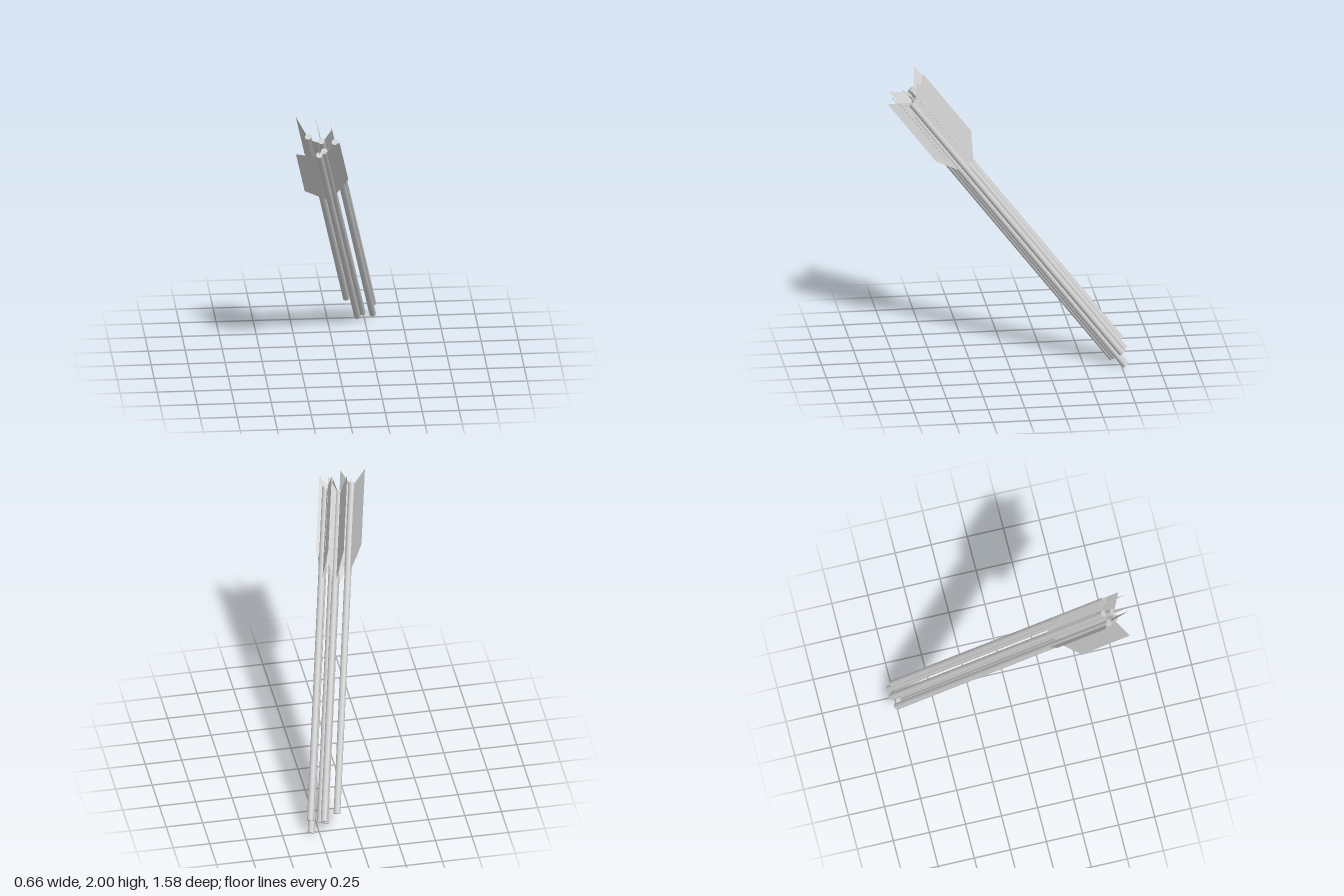
import * as THREE from 'three';

const LENGTH = 2.24;
const RADIUS = 0.023;

// Each arrow: offset across the bundle (x, z), start along the axis, vane pairs [angle in degrees, width]
const ARROWS = [
  { x: 0.181, z: -0.662, start: -0.385, vanes: [[-69, 0.131]] },
  { x: 0.26, z: -0.635, start: -0.44, vanes: [[90, 0.157], [10, 0.09]] },
  { x: 0.222, z: -0.535, start: -0.442, vanes: [[0, 0.152]] },
  { x: 0.26, z: -0.552, start: -0.44, vanes: [] },
  { x: 0.327, z: -0.566, start: -0.518, vanes: [] },
  { x: 0.346, z: -0.6, start: -0.437, vanes: [[90, 0.12]] },
];

export function createModel() {
  const model = new THREE.Group();
  model.name = 'arrowBundle';
  const shaftMaterial = new THREE.MeshStandardMaterial({ color: 0xcccccc });
  const vaneMaterial = new THREE.MeshStandardMaterial({ color: 0xcccccc, side: THREE.DoubleSide });
  const shaftGeometry = new THREE.CylinderGeometry(RADIUS, RADIUS, LENGTH, 10);
  shaftGeometry.translate(0, LENGTH / 2, 0);

  // Swept vane: tapered towards the head, pointed past the nock
  const vaneGeometry = (width) => new THREE.ShapeGeometry(new THREE.Shape([
    new THREE.Vector2(0, 1.6),
    new THREE.Vector2(width, 1.82),
    new THREE.Vector2(width, 2.33),
    new THREE.Vector2(0, 2.21),
  ]));

  // The bundle leans as one
  const bundle = new THREE.Group();
  bundle.name = 'leaningBundle';
  const axis = new THREE.Vector3(-0.165, 0.77, 0.617).normalize();
  const side = new THREE.Vector3(0.97, 0.23, -0.03);
  side.addScaledVector(axis, -side.dot(axis)).normalize();
  const front = new THREE.Vector3().crossVectors(side, axis);
  bundle.quaternion.setFromRotationMatrix(new THREE.Matrix4().makeBasis(side, axis, front));
  model.add(bundle);

  ARROWS.forEach(({ x, z, start, vanes }) => {
    const arrow = new THREE.Group();
    arrow.name = 'arrow';
    arrow.position.set(x, start, z);
    const shaft = new THREE.Mesh(shaftGeometry, shaftMaterial);
    shaft.name = 'shaft';
    arrow.add(shaft);
    for (const [angle, width] of vanes) {
      const geometry = vaneGeometry(width);
      for (const turn of [0, 180]) {
        const vane = new THREE.Mesh(geometry, vaneMaterial);
        vane.name = 'vane';
        vane.rotation.y = THREE.MathUtils.degToRad(angle + turn);
        arrow.add(vane);
      }
    }
    bundle.add(arrow);
  });
  return model;
}
